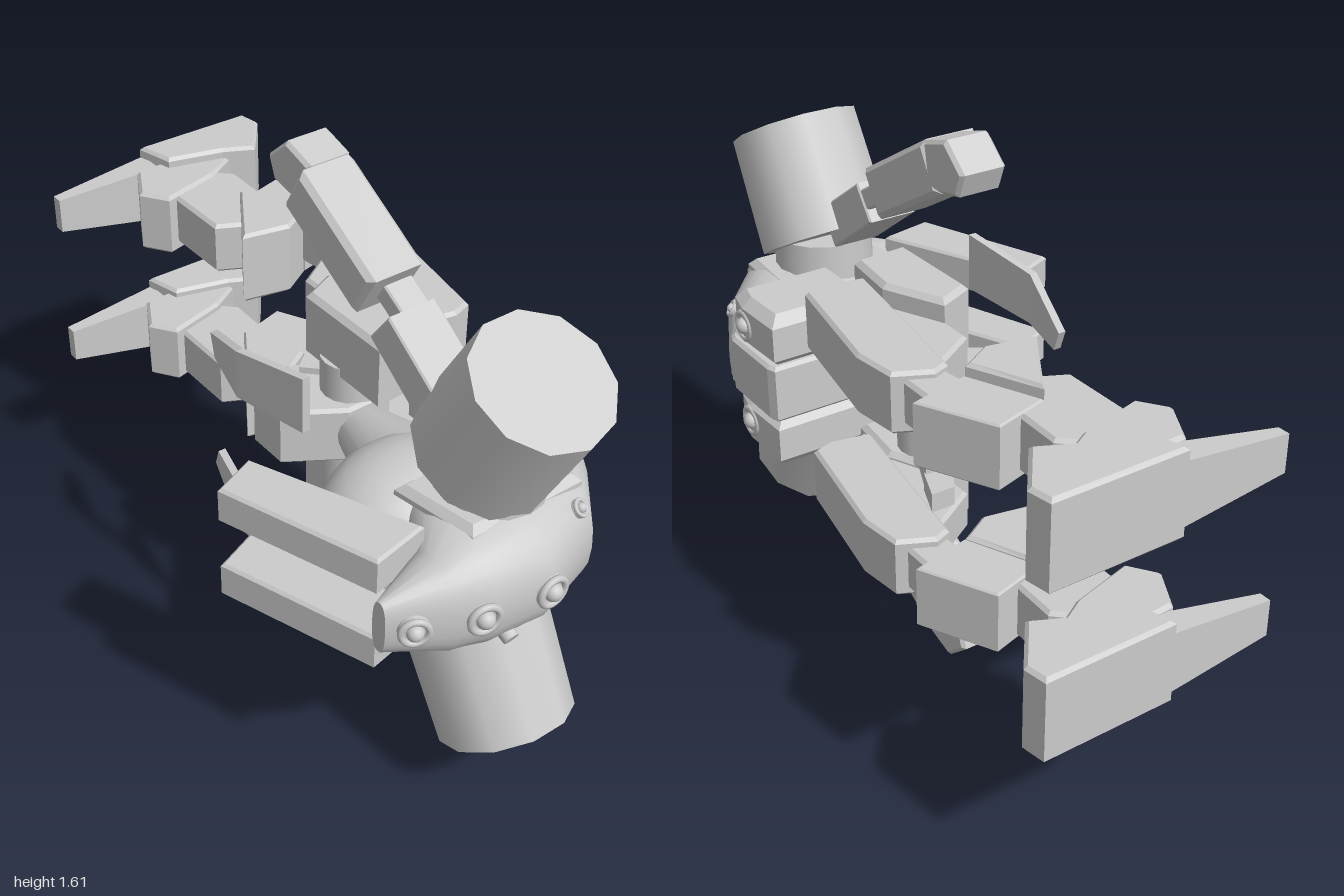
import * as THREE from 'three';
import { toCreasedNormals } from 'three/addons/utils/BufferGeometryUtils.js';

const MID = 0.8; // height of the mirror plane

export function createModel() {
  const root = new THREE.Group();
  root.name = 'recliningWalker';
  const mat = new THREE.MeshStandardMaterial({ color: 0xcccccc });
  const V = (x, y, z) => new THREE.Vector3(x, y, z);

  const add = (name, geo, parent = root) => {
    const mesh = new THREE.Mesh(geo, mat);
    mesh.name = name;
    parent.add(mesh);
    return mesh;
  };

  // Extruded polygon with chamfered ends
  const extrude = (pts, depth, bevel) => new THREE.ExtrudeGeometry(
    new THREE.Shape(pts.map(p => new THREE.Vector2(p[0], p[1]))), {
      depth: depth - 2 * bevel, bevelEnabled: bevel > 0, bevelSegments: 1,
      bevelSize: bevel, bevelThickness: bevel, bevelOffset: -bevel,
    }).translate(0, 0, bevel);

  // Polygon given as [x, z], extruded from y0 to y1
  const plan = (name, pts, y0, y1, bevel = 0, parent = root) =>
    add(name, extrude(pts.map(([x, z]) => [x, -z]), y1 - y0, bevel).rotateX(-Math.PI / 2).translate(0, y0, 0), parent);

  // Polygon given as [z, y], extruded from x0 to x1
  const side = (name, pts, x0, x1, bevel = 0, parent = root) =>
    add(name, extrude(pts, x1 - x0, bevel).rotateY(-Math.PI / 2).translate(x1, 0, 0), parent);

  // Tapered cylinder between two points
  const rod = (name, a, b, ra, rb, sides, parent = root) => {
    const d = b.clone().sub(a);
    const mesh = add(name, new THREE.CylinderGeometry(rb, ra, d.length(), sides), parent);
    mesh.position.copy(a).lerp(b, 0.5);
    mesh.quaternion.setFromUnitVectors(V(0, 1, 0), d.normalize());
  };

  // Round lamp: rim, ring and domed lens
  const lamp = (pos, dir, r) => {
    const g = new THREE.Group();
    g.name = 'lamp';
    add('lampBase', new THREE.CylinderGeometry(r * 0.9, r, r, 20).rotateX(Math.PI / 2), g);
    add('lampRing', new THREE.TorusGeometry(r * 0.78, r * 0.2, 8, 24).translate(0, 0, r * 0.5), g);
    add('lampLens', new THREE.SphereGeometry(r * 0.5, 16, 10).translate(0, 0, r * 0.5), g);
    g.position.copy(pos);
    g.quaternion.setFromUnitVectors(V(0, 0, 1), dir.normalize());
    root.add(g);
  };

  // Rounded visor hull: stations of [x, front z, back z, half height]
  const st = [
    [-0.36, 0.82, 0.77, 0.08], [-0.2, 0.905, 0.7, 0.135], [-0.1, 0.935, 0.55, 0.17],
    [0.06, 0.95, 0.42, 0.19], [0.25, 0.89, 0.4, 0.185], [0.38, 0.74, 0.42, 0.15], [0.45, 0.6, 0.47, 0.085],
  ];
  const hull = new THREE.CylinderGeometry(1, 1, 1, 28, st.length - 1);
  const pos = hull.attributes.position;
  const boxy = v => Math.sign(v) * Math.pow(Math.abs(v), 0.8);
  for (let i = 0; i < pos.count; i++) {
    const [x, zf, zb, h] = st[Math.round((pos.getY(i) + 0.5) * (st.length - 1))];
    pos.setXYZ(i, x, MID - boxy(pos.getX(i)) * h, (zf + zb) / 2 + boxy(pos.getZ(i)) * (zf - zb) / 2);
  }
  add('visorHull', toCreasedNormals(hull, 0.7));

  // Lower torso, waist and pelvis
  const torso = add('lowerTorso', new THREE.SphereGeometry(1, 20, 12));
  torso.scale.set(0.25, 0.17, 0.21);
  torso.position.set(-0.02, MID, 0.49);
  rod('waist', V(0.06, MID, 0.4), V(0.08, MID, 0.14), 0.14, 0.07, 16);
  plan('pelvis', [[-0.13, -0.055], [0.02, -0.105], [0.17, -0.02], [0.17, 0.17], [0.03, 0.17], [-0.13, 0.07]], 0.71, 0.89, 0.01);

  // Flank block
  plan('flankBlock', [[0.13, 0.3], [0.455, 0.3], [0.465, 0.33], [0.465, 0.54], [0.45, 0.575], [0.13, 0.575]], 0.715, 0.89, 0.01);

  // Slanted tail plate with two prongs
  plan('tailPlate', [[0.02, -0.05], [0.13, -0.14], [0.21, -0.21], [0.29, -0.21], [0.2, -0.01], [0.1, 0.03]], 0.695, 0.91);
  for (const y of [0.695, 0.855])
    plan('tailProng', [[0.2, -0.2], [0.26, -0.3], [0.33, -0.3], [0.29, -0.2]], y, y + 0.055);

  // Lamps across the visor and small studs
  lamp(V(-0.295, 0.805, 0.845), V(-0.5, 0, 1), 0.045);
  lamp(V(-0.135, 0.805, 0.905), V(-0.25, 0, 1), 0.05);
  lamp(V(0.055, 0.805, 0.93), V(0, 0, 1), 0.05);
  lamp(V(0.215, 0.92, 0.855), V(0.3, 0.7, 0.7), 0.027);
  lamp(V(0.39, 0.91, 0.66), V(0.8, 0.5, 0.3), 0.027);
  lamp(V(0.39, 0.69, 0.66), V(0.8, -0.5, 0.3), 0.027);
  rod('chinStud', V(-0.04, 0.71, 0.85), V(-0.04, 0.675, 0.925), 0.027, 0.022, 12);

  for (const s of [1, -1]) {
    const arm = new THREE.Group(), leg = new THREE.Group();
    arm.name = s > 0 ? 'upperArmSide' : 'lowerArmSide';
    leg.name = s > 0 ? 'upperLegSide' : 'lowerLegSide';
    root.add(arm, leg);
    const Y = y => MID + s * (y - MID);
    // Mirrored versions of the two polygon helpers
    const P = (name, pts, y0, y1, bevel, parent = leg) =>
      plan(name, pts, Math.min(Y(y0), Y(y1)), Math.max(Y(y0), Y(y1)), bevel, parent);
    const S = (name, pts, x0, x1, bevel = 0) => side(name, pts.map(([z, y]) => [z, Y(y)]), x0, x1, bevel, arm);
    // Bar along the arm: centre z and y, length, thickness
    const bar = (name, z, y, len, thick, x0, x1, bevel) => {
      const c = 0.866, n = 0.5;
      S(name, [[-1, -1], [1, -1], [1, 1], [-1, 1]].map(([u, v]) =>
        [z - c * u * len / 2 + n * v * thick / 2, y + n * u * len / 2 + c * v * thick / 2]), x0, x1, bevel);
    };

    // Shoulder drum and its neck
    rod('shoulderDrum', V(0.067, Y(1.065), 0.665), V(0.067, Y(1.365), 0.835), 0.198, 0.19, 11, arm);
    rod('shoulderNeck', V(0.067, Y(0.92), 0.69), V(0.067, Y(1.08), 0.69), 0.15, 0.145, 16, arm);
    P('shoulderCollar', [[-0.14, 0.57], [0.28, 0.57], [0.26, 0.82], [-0.1, 0.82]], 0.93, 0.985, 0.02, arm);

    // Arm
    S('upperArm', [[0.6, 1.19], [0.39, 1.335], [0.32, 1.24], [0.53, 1.09]], -0.03, 0.12, 0.005);
    bar('elbow', 0.325, 1.315, 0.16, 0.06, 0.025, 0.115, 0.005);
    bar('forearm', 0.14, 1.425, 0.35, 0.145, -0.035, 0.138, 0.015);
    S('hand', [[0.02, 1.575], [-0.08, 1.605], [-0.16, 1.535], [-0.135, 1.47], [-0.06, 1.455], [0, 1.455]], 0, 0.138, 0.01);

    // Flank lamp block and front pod
    P('lampBlock', [[0.13, 0.3], [0.455, 0.3], [0.46, 0.47], [0.44, 0.55], [0.13, 0.55]], 0.88, 1.04, 0.03, root);
    lamp(V(0.43, Y(0.955), 0.47), V(1, 0, 0), 0.05);
    P('frontPod', [[-0.5, 0.325], [-0.37, 0.27], [-0.175, 0.73], [-0.345, 0.765]], 0.87, 0.98, 0.008, root);

    // Rear blade: two flat panels folded along their shared edge, [z, y] plus slope in x
    const panels = [
      [[[0.27, 0.98], [0.27, 1.15], [0.02, 1.11], [0.02, 0.96]], 0.14],
      [[[0.02, 0.96], [0.02, 1.11], [-0.19, 1.03], [-0.16, 0.965]], -0.27],
    ];
    for (const [pts, slope] of panels) {
      const panel = side('rearBlade', pts.map(([z, y]) => [z, Y(y)]), -0.235, -0.212);
      const bp = panel.geometry.attributes.position;
      for (let i = 0; i < bp.count; i++) bp.setX(i, bp.getX(i) + (bp.getZ(i) - 0.02) * slope);
      panel.geometry.computeVertexNormals();
    }

    // Hip and thigh
    rod('hipJoint', V(0.1, Y(0.86), 0.08), V(0.1, Y(1.0), 0.08), 0.085, 0.085, 16, leg);
    P('hipArmour', [[0.03, -0.03], [0.14, -0.08], [0.22, 0.1], [0.2, 0.28], [0.03, 0.29]], 0.96, 1.165, 0.015);
    P('thigh', [[0.13, 0.28], [0.22, 0.26], [0.34, -0.3], [0.24, -0.24], [0.13, -0.17]], 0.98, 1.1, 0.01);
    P('thighArmour', [[0.2, 0.225], [0.325, 0.25], [0.385, 0.23], [0.455, -0.155], [0.44, -0.29], [0.34, -0.34], [0.29, -0.32]], 0.96, 1.135, 0.01);

    // Knee and shin
    P('kneeLink', [[0.27, -0.5], [0.41, -0.48], [0.41, -0.27], [0.3, -0.27]], 0.985, 1.115, 0.01);
    P('calfBlock', [[0.055, -0.37], [0.2, -0.595], [0.29, -0.395], [0.2, -0.34]], 0.94, 1.165, 0.01);
    P('kneeBlock', [[0.2, -0.595], [0.36, -0.64], [0.465, -0.43], [0.29, -0.39]], 0.95, 1.13, 0.005);
    P('shin', [[0.06, -0.76], [0.06, -0.52], [0.2, -0.45], [0.285, -0.6], [0.29, -0.75], [0.2, -0.84]], 0.965, 1.125, 0.01);

    // Foot with ankle, heel and tapering toe
    P('ankle', [[0.03, -0.72], [-0.025, -0.8], [0.04, -0.92], [0.2, -0.93], [0.32, -0.83], [0.22, -0.77]], 0.94, 1.135, 0.01);
    P('heel', [[0.1, -1], [0.485, -1], [0.497, -0.93], [0.39, -0.79], [0.3, -0.835], [0.13, -0.88]], 0.915, 1.165, 0.01);
    const toe = P('toe', [[-0.21, -1], [0.11, -1], [0.11, -0.91], [-0.21, -0.965]], 0.95, 1.13, 0);
    const tp = toe.geometry.attributes.position, c = Y(1.04);
    for (let i = 0; i < tp.count; i++) if (tp.getX(i) < -0.1) tp.setY(i, c + (tp.getY(i) - c) * 0.6);
    toe.geometry.computeVertexNormals();
  }
  return root;
}
